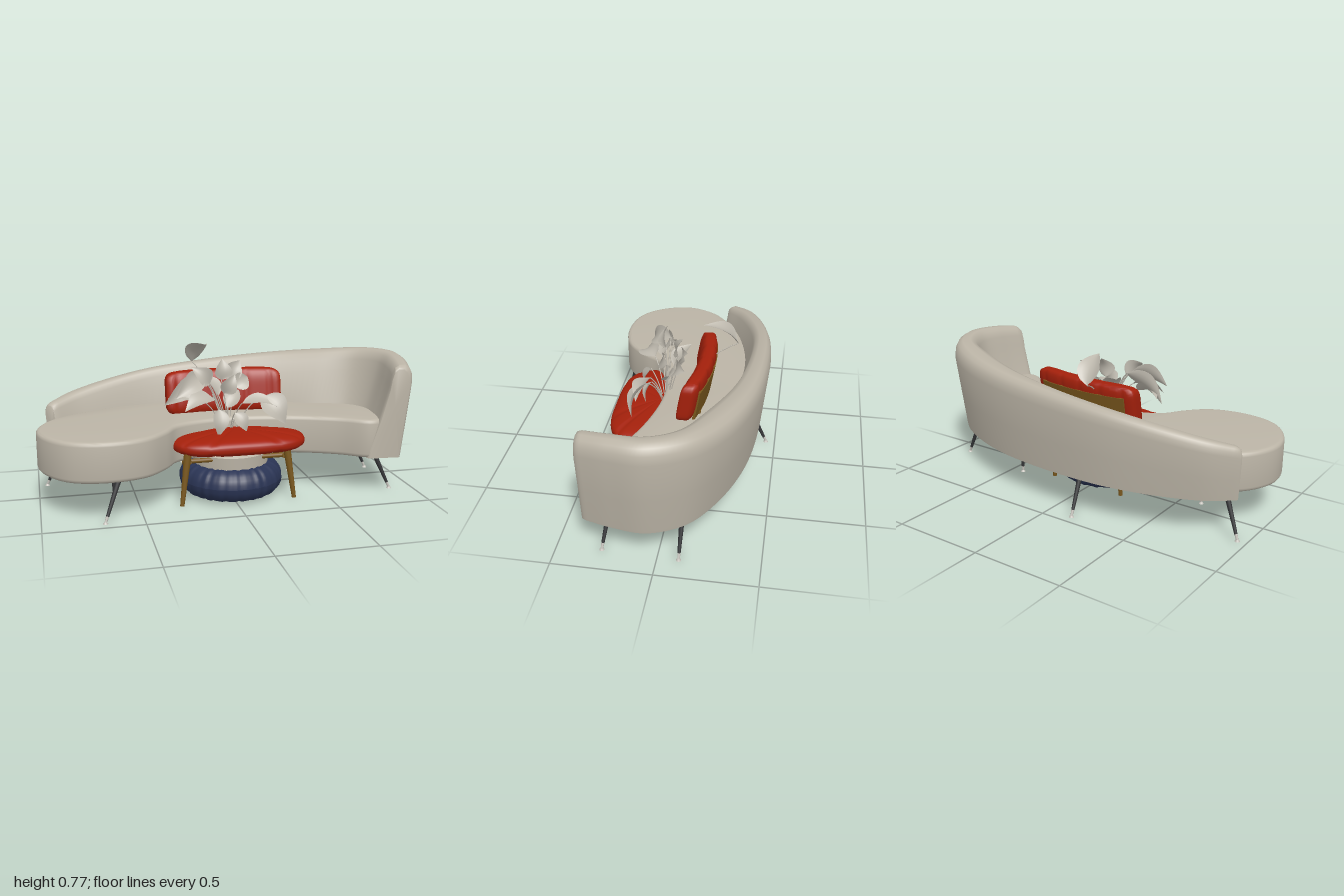
import * as THREE from 'three';
import { toCreasedNormals } from 'three/addons/utils/BufferGeometryUtils.js';

const V = (x, y, z) => new THREE.Vector3(x, y, z);
function mat(name, color, side = THREE.FrontSide) {
  const m = new THREE.MeshStandardMaterial({ color, side });
  m.name = name;
  return m;
}

export function createModel() {
  const model = new THREE.Group();
  const upholstery = mat('beige upholstery', 0xbbb4a6);
  const red = mat('red fabric', 0xa3200b);
  const navy = mat('navy fabric', 0x2a3454);
  const wood = mat('brown wood', 0x78561c);
  const dark = mat('dark metal', 0x343537);
  const pale = mat('pale metal', 0xc6c3bc);
  const leafMat = mat('pale leaf', 0xbdb8ad, THREE.DoubleSide);

  function add(name, geo, material, parent = model) {
    const m = new THREE.Mesh(geo, material);
    m.name = name;
    parent.add(m);
    return m;
  }
  // Move every vertex by a rule
  function warp(geo, rule) {
    const p = geo.attributes.position, v = V();
    for (let i = 0; i < p.count; i++) {
      rule(v.fromBufferAttribute(p, i));
      p.setXYZ(i, v.x, v.y, v.z);
    }
    geo.computeVertexNormals();
    return geo;
  }
  // Tapered rod from a (radius ra) down to b (radius rb)
  function rod(name, a, b, ra, rb, material, parent) {
    const m = add(name, new THREE.CylinderGeometry(ra, rb, a.distanceTo(b), 14), material, parent);
    m.position.copy(a).lerp(b, 0.5);
    m.quaternion.setFromUnitVectors(V(0, 1, 0), a.clone().sub(b).normalize());
  }
  const power = (c, e) => Math.sign(c) * Math.abs(c) ** e;

  // Sofa seat: curved slab with soft edges
  const outline = [[-1, .1], [-.97, .26], [-.86, .4], [-.68, .45], [-.48, .41], [-.36, .3], [-.28, .19],
    [-.1, .12], [.1, .11], [.35, .16], [.57, .25], [.71, .34], [.78, .33], [.82, .2], [.82, .05],
    [.75, -.08], [.58, -.2], [.3, -.3], [0, -.34], [-.4, -.325], [-.74, -.2], [-.93, -.06]];
  const curve = new THREE.CatmullRomCurve3(outline.map(([x, z]) => V(x, -z, 0)), true);
  const seatShape = new THREE.Shape(curve.getPoints(120).slice(0, -1).map(p => new THREE.Vector2(p.x, p.y)));
  const seatGeo = new THREE.ExtrudeGeometry(seatShape, {
    depth: .164, bevelThickness: .022, bevelSize: .022, bevelOffset: -.022, bevelSegments: 4,
  });
  seatGeo.rotateX(-Math.PI / 2).translate(0, .223, 0);
  add('sofaSeat', toCreasedNormals(seatGeo, .7), upholstery);

  // Sofa back: one padded wall swept from the low end round to the tall arm
  // Rows: outer x, z, inner x, z, top height
  const stations = [[-.95, -.18, -.87, -.11, .47], [-.8, -.3, -.71, -.18, .515], [-.4, -.425, -.38, -.275, .59],
    [0, -.45, -.02, -.265, .635], [.4, -.41, .3, -.195, .67], [.7, -.31, .54, -.08, .695],
    [.9, -.165, .69, -.01, .715], [.995, .03, .73, .07, .722], [.978, .2, .73, .2, .715], [.935, .362, .705, .345, .695]];
  const outer = new THREE.CatmullRomCurve3(stations.map(s => V(s[0], s[4], s[1])));
  const inner = new THREE.CatmullRomCurve3(stations.map(s => V(s[2], s[4], s[3])));
  // Section: distance from outer to inner, fraction of height
  const section = [[.2, 0], [.19, .03], [.1, .4], [0, .82], [.02, .91], [.08, .97], [.18, 1], [.32, 1],
    [.42, .97], [.48, .89], [.52, .78], [.73, .42], [.97, .1], [1, 0]];
  const n = section.length, pos = [], idx = [];
  const us = [0, .002, .005, .009, .015];
  for (let i = 2; i < 79; i++) us.push(i / 80);
  us.push(.985, .991, .995, .998, 1);
  us.forEach(u => {
    const o = outer.getPoint(u), i = inner.getPoint(u);
    const k = Math.min(1, .86 + .14 * Math.sqrt(Math.min(u, 1 - u) / .015));
    // The crest is broad along the back and narrows at the arm
    const broad = 1.32 - .32 * THREE.MathUtils.smoothstep(u, .45, .8);
    section.forEach(([t, h], j) => {
      const across = j > 6 && j < 12 ? t * broad : t;
      const q = o.clone().lerp(i, .5 + (across - .5) * k);
      pos.push(q.x, .2 + (o.y - .2) * (h > .5 ? h - (1 - k) * .3 : h), q.z);
    });
  });
  const last = us.length - 1;
  for (let i = 0; i < last; i++) for (let j = 0; j < n; j++) {
    const a = i * n + j, b = i * n + (j + 1) % n;
    idx.push(a, b, a + n, b, b + n, a + n);
  }
  for (const end of [0, last]) {
    const c = pos.length / 3, mid = [0, 1, 2].map(k => {
      let sum = 0;
      for (let j = 0; j < n; j++) sum += pos[(end * n + j) * 3 + k];
      return sum / n;
    });
    pos.push(...mid);
    for (let j = 0; j < n; j++) {
      const a = end * n + j, b = end * n + (j + 1) % n;
      idx.push(c, ...(end ? [a, b] : [b, a]));
    }
  }
  const backGeo = new THREE.BufferGeometry();
  backGeo.setAttribute('position', new THREE.Float32BufferAttribute(pos, 3));
  backGeo.setIndex(idx);
  add('sofaBack', toCreasedNormals(backGeo, .75), upholstery);

  // Splayed sofa legs with pale ferrules and foot pads: foot x, z, top x, z
  [[-.955, -.195, -.87, -.16], [-.695, .452, -.615, .39], [-.615, .07, -.61, .07], [-.15, -.45, -.14, -.355],
    [.425, -.15, .42, -.155], [.87, .275, .78, .245], [.885, -.105, .79, -.11]].forEach(([fx, fz, tx, tz]) => {
    const g = new THREE.Group();
    g.name = 'sofaLeg';
    model.add(g);
    const top = V(tx, .21, tz), foot = V(fx, .006, fz), joint = top.clone().lerp(foot, .86);
    rod('legShaft', top, joint, .014, .008, dark, g);
    rod('legFerrule', joint, foot, .008, .006, pale, g);
    rod('footPad', V(fx, .01, fz), V(fx, 0, fz), .007, .013, pale, g);
  });

  // Chair seat cushion with radiating tufts
  const cushion = warp(new THREE.SphereGeometry(1, 96, 28), v => {
    const a = Math.atan2(v.z, v.x), r = Math.hypot(v.x, v.z) ** .55;
    const tuft = 1 - .2 * r * Math.abs(Math.cos(a * 5)) ** 20;
    v.set(.035 + .36 * r * power(Math.cos(a), .58), .303 + .053 * power(v.y, .75) * tuft,
      .13 + .245 * r * power(Math.sin(a), .62));
  });
  add('chairSeat', cushion, red);

  // Chair back cushion, gently curved and reclined, with a wood shell behind
  const bow = (x, y) => -.103 + .4 * x * x + .03 * x - (y - .52) * .18;
  const backCushion = warp(new THREE.BoxGeometry(2, 2, 2, 50, 16, 8), v => {
    const q = v.clone();
    const s = 1 / (q.x ** 8 + q.y ** 8 + q.z ** 8) ** .125;
    q.multiplyScalar(s * Math.max(Math.abs(v.x), Math.abs(v.y), Math.abs(v.z)));
    const x = .015 + .318 * q.x, y = .517 + .115 * q.y;
    const groove = 1 - .14 * Math.abs(Math.cos(q.x * Math.PI * 2.5)) ** 16;
    v.set(x, y + q.x * .004, bow(x, y) + .047 * q.z * groove * (1 - .35 * q.y ** 4));
  });
  add('chairBack', toCreasedNormals(backCushion, 1.2), red);
  const shell = warp(new THREE.BoxGeometry(.54, .17, .014, 24, 2, 1), v => {
    v.x += .015;
    v.y += .485;
    v.z += bow(v.x, v.y) - .044;
  });
  add('chairBackShell', toCreasedNormals(shell, .6), wood);

  // Chair frame
  for (const s of [-1, 1]) {
    const x = .015;
    rod('chairFrontLeg', V(x + s * .265, .27, .27), V(x + s * .302, 0, .296), .02, .011, wood);
    rod('chairBackLeg', V(x + s * .2, .42, -.1), V(x + s * .225, 0, -.09), .017, .011, wood);
    rod('chairSideRail', V(x + s * .255, .225, .27), V(x + s * .215, .19, -.095), .012, .012, wood);
  }
  rod('chairFrontRail', V(-.25, .225, .25), V(.28, .225, .25), .012, .012, wood);
  rod('chairBackRail', V(-.19, .2, -.095), V(.22, .2, -.095), .012, .012, wood);

  // Pleated pouf ring around the planter
  const pouf = warp(new THREE.TorusGeometry(.19, .086, 24, 200), v => {
    const a = Math.atan2(v.y, v.x), r = Math.hypot(v.x, v.y) - .19;
    const k = 1 + .022 * Math.sin(a * 24 + Math.sin(a * 5)) + .012 * Math.sin(a * 40);
    v.set(Math.cos(a) * (.19 + r * k), Math.sin(a) * (.19 + r * k), v.z * k);
  });
  const poufMesh = add('pouf', pouf, navy);
  poufMesh.rotation.x = -Math.PI / 2;
  poufMesh.position.set(.015, .092, .107);

  // Planter
  const profile = [[0, .006], [.12, .006], [.125, .02], [.125, .15], [.2, .17], [.205, .24], [.19, .25], [.18, .23], [0, .23]];
  const pot = add('planter', toCreasedNormals(new THREE.LatheGeometry(profile.map(p => new THREE.Vector2(...p)), 48), .6), upholstery);
  pot.position.set(.015, 0, .107);
  const plug = add('planterDrain', new THREE.CylinderGeometry(.045, .045, .006, 28), dark);
  plug.position.set(.015, .005, .107);

  // Plant: curved heart-shaped leaves on thin stems: base, tip, half width, facing
  const plant = new THREE.Group();
  plant.name = 'plant';
  model.add(plant);
  const facing = [.2, .45, 1];
  [[-.12, .65, -.27, -.07, .77, -.09, .06, [0, 1, -.5]], [-.13, .63, .08, -.34, .49, .1, .055],
    [-.15, .64, .1, -.3, .55, .22, .055], [.17, .53, .18, .28, .39, .24, .075], [-.07, .48, .2, -.08, .34, .23, .045],
    [.02, .6, 0, .1, .69, -.03, .05], [-.02, .54, .1, .04, .64, .1, .045], [-.1, .6, .12, -.2, .69, .12, .05],
    [.06, .5, .18, .26, .47, .22, .05, [.2, 1, .4]], [-.1, .54, .18, -.26, .49, .26, .06, [0, 1, .5]],
    [.02, .45, .18, .08, .35, .2, .04], [-.02, .6, .04, -.01, .71, .01, .05], [.05, .56, .04, .14, .6, -.02, .05],
    [-.04, .52, .06, -.13, .62, -.02, .05, [.5, 1, .5]], [-.15, .52, .15, -.32, .52, .08, .05, [0, 1, .6]],
    [0, .46, .1, .08, .54, .02, .045, [0, 1, .6]]].forEach(([bx, by, bz, tx, ty, tz, w, face = facing]) => {
    const base = V(bx, by, bz), d = V(tx, ty, tz).sub(base);
    const side = d.clone().cross(V(...face)).normalize(), up = side.clone().cross(d).normalize();
    const blade = warp(new THREE.PlaneGeometry(2, 1, 6, 12), v => {
      const u = v.x, t = v.y + .5, width = w * Math.sin(Math.PI * t ** .65);
      v.copy(base).addScaledVector(d, t).addScaledVector(side, u * width)
        .addScaledVector(up, d.length() * .16 * Math.sin(Math.PI * t) + .35 * width * u * u);
    });
    add('leaf', blade, leafMat, plant);
    const stem = new THREE.QuadraticBezierCurve3(V(.01, .24, .1), V(bx * .4, by * .9, .1 + (bz - .1) * .4), base);
    add('stem', new THREE.TubeGeometry(stem, 14, .003, 6), leafMat, plant);
  });

  return model;
}
